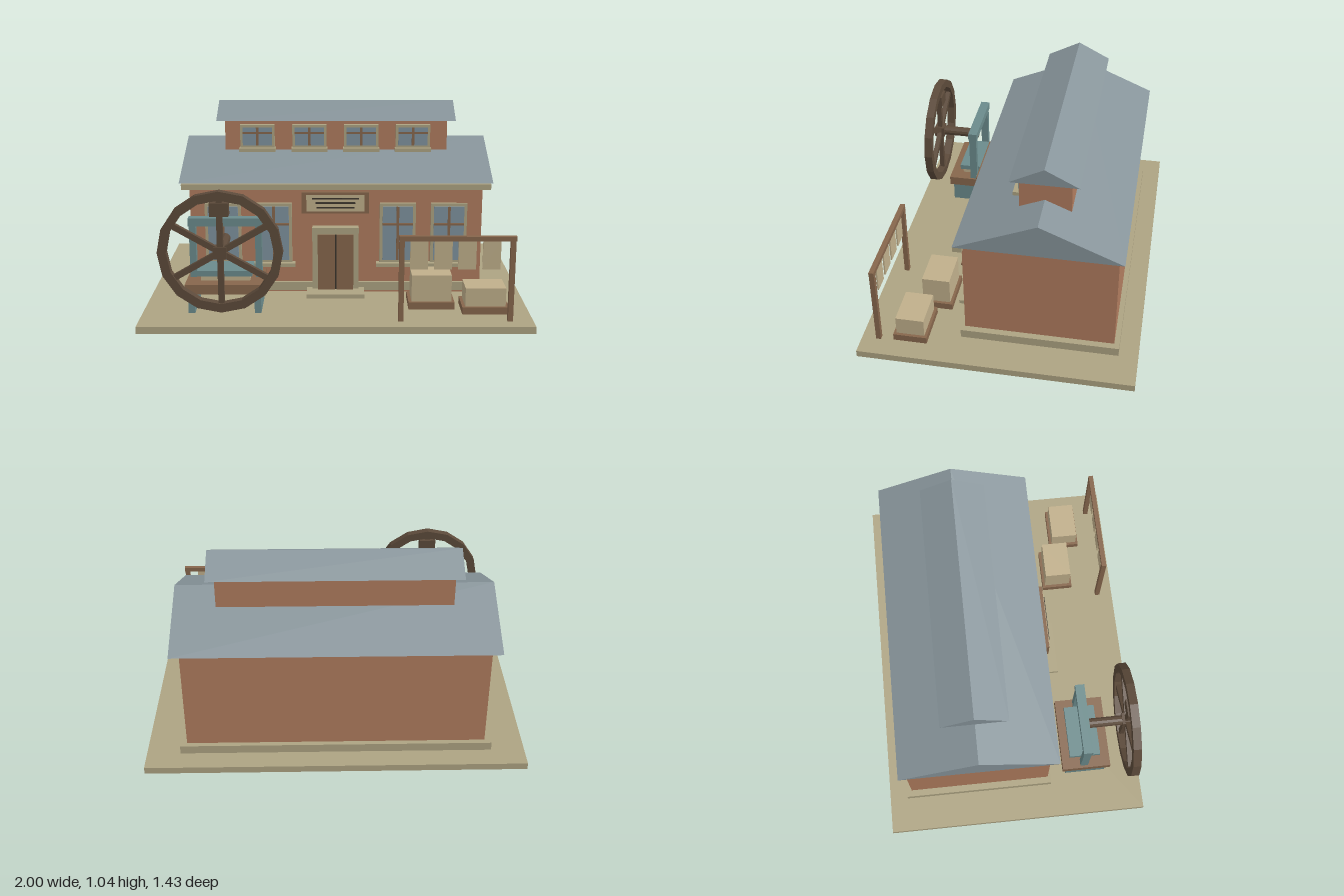
import * as THREE from 'three';

const mat = (color) => new THREE.MeshStandardMaterial({ color, flatShading: true });

export function createModel() {
  const model = new THREE.Group();
  model.name = 'printWorkshop';
  const stone = mat(0xada382), brick = mat(0xb07c5e), slate = mat(0x87949a), glass = mat(0x7f929e);
  const brown = mat(0x86664c), dark = mat(0x5c4a3a), teal = mat(0x6b8b8c), paper = mat(0xc0af8b), ink = mat(0x3a342c);

  const group = (name) => {
    const g = new THREE.Group();
    g.name = name;
    model.add(g);
    return g;
  };
  const add = (name, geometry, material, parent = model) => {
    const m = new THREE.Mesh(geometry, material);
    m.name = name;
    parent.add(m);
    return m;
  };
  // Box given by its extents along each axis
  const box = (name, material, [x0, x1], [y0, y1], [z0, z1], parent = model) => {
    const m = add(name, new THREE.BoxGeometry(x1 - x0, y1 - y0, z1 - z0), material, parent);
    m.position.set((x0 + x1) / 2, (y0 + y1) / 2, (z0 + z1) / 2);
  };
  // Solid gable roof with its ridge along x
  const gable = (name, halfX, y0, y1, zFront, zBack) => {
    const s = new THREE.Shape();
    s.moveTo(-zFront, y0);
    s.lineTo(-zBack, y0);
    s.lineTo(-(zFront + zBack) / 2, y1);
    s.closePath();
    const g = new THREE.ExtrudeGeometry(s, { depth: 2 * halfX, bevelEnabled: false });
    g.translate(0, 0, -halfX).rotateY(Math.PI / 2);
    add(name, g, slate);
  };

  // Ground slab and main hall
  box('groundSlab', stone, [-1, 1], [0, 0.037], [-0.715, 0.715]);
  box('plinth', stone, [-0.82, 0.82], [0.05, 0.097], [-0.615, 0.205]);
  box('hallWalls', brick, [-0.785, 0.785], [0.037, 0.648], [-0.588, 0.188]);
  box('cornice', stone, [-0.825, 0.825], [0.62, 0.65], [0.178, 0.225]);
  gable('hallRoof', 0.836, 0.655, 0.833, 0.225, -0.617);

  // Raised clerestory
  box('clerestoryWalls', brick, [-0.614, 0.614], [0.68, 0.946], [-0.33, -0.068]);
  gable('clerestoryRoof', 0.657, 0.948, 1.037, -0.025, -0.371);

  // Window: surround, glass, glazing bars and sill
  const addWindow = (name, x, w, y0, y1, z, border, sillW, sillDepth) => {
    const g = group(name);
    const gx = w / 2 - border, g0 = y0 + border, g1 = y1 - border;
    const barY = y0 + 0.66 * (y1 - y0);
    box('surround', stone, [x - w / 2, x + w / 2], [y0, y1], [z, z + 0.019], g);
    box('glass', glass, [x - gx, x + gx], [g0, g1], [z + 0.01, z + 0.025], g);
    box('uprightBar', brown, [x - 0.007, x + 0.007], [g0, g1], [z + 0.02, z + 0.031], g);
    box('crossBar', brown, [x - gx, x + gx], [barY - 0.006, barY + 0.006], [z + 0.02, z + 0.031], g);
    box('sill', stone, [x - sillW / 2, x + sillW / 2], [y0 - 0.018, y0 + 0.002], [z, z + sillDepth], g);
  };
  for (const x of [-0.608, -0.335, 0.332, 0.607])
    addWindow('hallWindow', x, 0.194, 0.21, 0.54, 0.188, 0.016, 0.23, 0.042);
  for (const x of [-0.435, -0.147, 0.139, 0.425])
    addWindow('clerestoryWindow', x, 0.19, 0.793, 0.922, -0.068, 0.014, 0.2, 0.048);

  // Entrance
  const door = group('entrance');
  box('doorSurround', stone, [-0.128, 0.122], [0.068, 0.412], [0.188, 0.232], door);
  for (const x of [-0.0985, 0.0015])
    box('doorLeaf', brown, [x, x + 0.092], [0.068, 0.375], [0.2, 0.244], door);
  box('doorGap', ink, [-0.0065, 0.0015], [0.068, 0.375], [0.2, 0.24], door);
  box('doorStep', stone, [-0.158, 0.152], [0.045, 0.068], [0.188, 0.325], door);

  // Sign with plain ruled lines
  const sign = group('signBoard');
  box('signFrame', brown, [-0.183, 0.175], [0.497, 0.61], [0.222, 0.246], sign);
  box('signPanel', paper, [-0.158, 0.152], [0.507, 0.598], [0.23, 0.25], sign);
  for (const [y, w] of [[0.578, 0.25], [0.555, 0.21], [0.53, 0.2]])
    box('signLine', ink, [-0.003 - w / 2, -0.003 + w / 2], [y - 0.004, y + 0.004], [0.245, 0.255], sign);

  // Press on its table
  const press = group('press');
  box('table', brown, [-0.775, -0.375], [0.145, 0.197], [0.272, 0.54], press);
  box('pressBed', paper, [-0.7, -0.445], [0.197, 0.225], [0.33, 0.47], press);
  box('platen', teal, [-0.717, -0.433], [0.225, 0.253], [0.315, 0.485], press);
  for (const x of [-0.745, -0.403]) {
    box('tableLeg', teal, [x - 0.017, x + 0.017], [0.037, 0.146], [0.295, 0.52], press);
    box('pressPost', teal, [x - 0.017, x + 0.017], [0.19, 0.48], [0.372, 0.414], press);
  }
  box('pressBeam', teal, [-0.766, -0.382], [0.473, 0.515], [0.367, 0.418], press);

  // Large flywheel with six spokes
  const wheel = group('flywheel');
  wheel.position.set(-0.575, 0.405, 0.637);
  const ring = [[0.268, -0.022], [0.313, -0.022], [0.313, 0.022], [0.268, 0.022], [0.268, -0.022]];
  add('rim', new THREE.LatheGeometry(ring.map(p => new THREE.Vector2(...p)), 16).rotateX(Math.PI / 2), dark, wheel);
  for (let i = 0; i < 3; i++) {
    const spoke = add('spokePair', new THREE.BoxGeometry(0.03, 0.56, 0.026), dark, wheel);
    spoke.rotation.z = i * Math.PI / 3;
  }
  add('hub', new THREE.BoxGeometry(0.064, 0.06, 0.058), dark, wheel);
  box('counterweight', dark, [-0.047, 0.047], [0.187, 0.255], [-0.029, 0.029], wheel);
  const axle = add('axle', new THREE.CylinderGeometry(0.027, 0.027, 0.25, 12).rotateX(Math.PI / 2), dark, wheel);
  axle.position.z = -0.115;

  // Drying rack with hanging sheets
  const rack = group('dryingRack');
  for (const x of [0.328, 0.882])
    box('rackPost', brown, [x - 0.013, x + 0.013], [0.037, 0.47], [0.614, 0.64], rack);
  box('rackRail', brown, [0.314, 0.898], [0.46, 0.484], [0.614, 0.64], rack);
  for (const x of [0.415, 0.535, 0.655, 0.777])
    box('hangingSheet', paper, [x - 0.045, x + 0.045], [0.31, 0.461], [0.623, 0.631], rack);

  // Paper stacks on pallets
  for (const [x, z, top] of [[0.498, 0.386, 0.22], [0.77, 0.459, 0.175]]) {
    const stack = group('paperStack');
    box('pallet', brown, [x - 0.12, x + 0.12], [0.04, 0.077], [z - 0.088, z + 0.088], stack);
    box('paper', paper, [x - 0.104, x + 0.104], [0.077, top], [z - 0.074, z + 0.074], stack);
  }
  return model;
}
